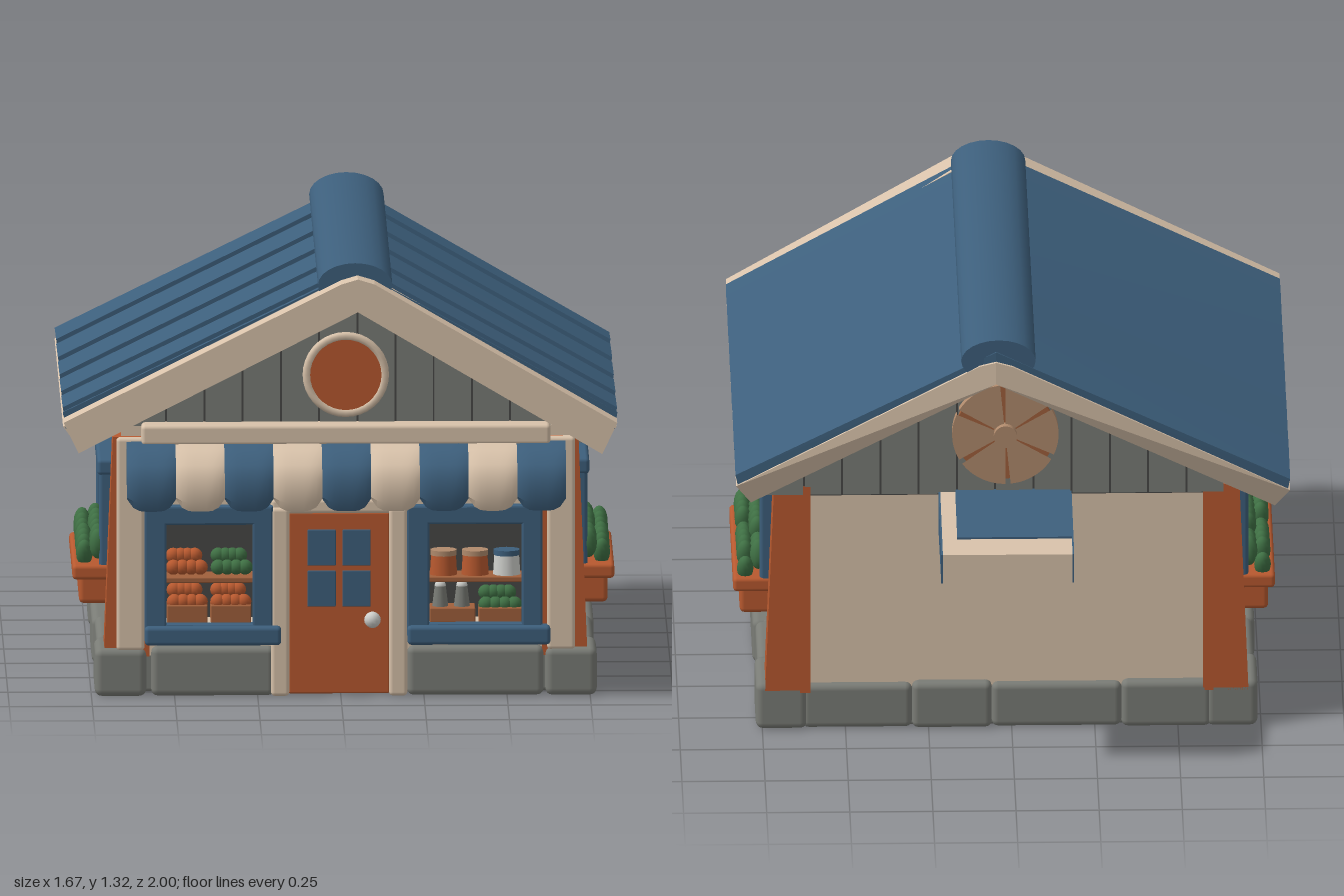
import * as THREE from 'three';
import { toCreasedNormals } from 'three/addons/utils/BufferGeometryUtils.js';
import { RoundedBoxGeometry } from 'three/addons/geometries/RoundedBoxGeometry.js';
import { ConvexGeometry } from 'three/addons/geometries/ConvexGeometry.js';

const mat = (name, color) => Object.assign(new THREE.MeshStandardMaterial({ color }), { name });

export function createModel() {
  const root = new THREE.Group();
  root.name = 'cornerShop';
  const blue = mat('slate blue', 0x3d5f7c), cream = mat('cream', 0xd8c2aa), orange = mat('terracotta', 0xb8592f);
  const grey = mat('stone grey', 0x7a7c76), dark = mat('dark interior', 0x484846), green = mat('leaf green', 0x3f7044);
  const tan = mat('tan wood', 0xb08a6c), brown = mat('crate brown', 0xa0603c), white = mat('pale metal', 0xcfd0cc);

  const add = (name, geo, m, x = 0, y = 0, z = 0) => {
    const mesh = new THREE.Mesh(geo, m);
    mesh.name = name;
    mesh.position.set(x, y, z);
    root.add(mesh);
    return mesh;
  };
  // Soft-edged box from its limits, x limits in any order
  const box = (name, m, x0, x1, y0, y1, z0, z1, r = 0.012) => {
    const w = Math.abs(x1 - x0), h = y1 - y0, d = z1 - z0;
    const rad = Math.min(r, w * 0.45, h * 0.45, d * 0.45);
    return add(name, new RoundedBoxGeometry(w, h, d, 2, rad), m, (x0 + x1) / 2, (y0 + y1) / 2, (z0 + z1) / 2);
  };
  const hull = (name, m, pts) => add(name, new ConvexGeometry(pts.map(p => new THREE.Vector3(...p))), m);
  const poly = pts => new THREE.Shape(pts.map(p => new THREE.Vector2(...p)));
  const rect = (x0, x1, y0, y1) => [[x0, y0], [x1, y0], [x1, y1], [x0, y1]];
  const extrude = (shape, depth, steps = 1) => new THREE.ExtrudeGeometry(shape, { depth, steps, bevelEnabled: false });
  const ball = (name, m, r, x, y, z, sx = 1, sy = 1, sz = 1) => {
    const b = add(name, new THREE.SphereGeometry(r, 12, 8), m, x, y, z);
    b.scale.set(sx, sy, sz);
    return b;
  };
  const cx = 0.015; // middle of the building

  // Foundation
  box('foundationCore', grey, -0.71, 0.74, 0, 0.14, -0.57, 0.75);
  const sideStones = [-0.6, -0.37, -0.08, 0.27, 0.62, 0.84];
  for (const s of [-1, 1]) for (let i = 0; i < 5; i++)
    box('foundationStone', grey, cx + s * 0.6, cx + s * (0.755 - (i % 2) * 0.008), 0, 0.15 - (i % 3) * 0.004, sideStones[i], sideStones[i + 1], 0.022);
  for (const [a, b] of [[-0.57, -0.2], [0.2, 0.61]]) box('foundationStone', grey, a, b, 0, 0.15, 0.7, 0.832, 0.02);
  const backStones = [-0.6, -0.33, 0.06, 0.3, 0.63];
  for (let i = 0; i < 4; i++)
    box('foundationStone', grey, backStones[i], backStones[i + 1], 0, 0.148 - (i % 2) * 0.006, -0.6 + (i % 2) * 0.008, -0.5, 0.02);

  // Walls, the front one with openings
  box('walls', cream, cx - 0.69, cx + 0.69, 0.1, 0.8, -0.57, 0.7, 0.004);
  const front = poly(rect(-0.66, 0.69, 0.12, 0.82));
  const windows = [[-0.53, -0.26], [0.26, 0.55]];
  for (const [a, b] of windows) front.holes.push(new THREE.Path(rect(a, b, 0.22, 0.53).map(p => new THREE.Vector2(...p))));
  add('frontWall', extrude(front, 0.1), cream, 0, 0, 0.7);
  for (const s of [-1, 1]) {
    box('frontPilaster', cream, cx + s * 0.605, cx + s * 0.69, 0.14, 0.79, 0.76, 0.835);
    box('doorPost', cream, -0.005 + s * 0.15, -0.005 + s * 0.205, 0, 0.575, 0.74, 0.838);
    // Corner posts leaning outwards at the foot
    for (const [z0, z1] of [[0.67, 0.815], [-0.6, -0.46]]) {
      const pts = [];
      for (const z of [z0, z1]) for (const [x, y] of [[0.59, 0.12], [0.727, 0.12], [0.7, 0.79], [0.59, 0.79]]) pts.push([cx + s * x, y, z]);
      hull('cornerPost', orange, pts);
    }
  }
  box('gableBeam', cream, -0.6, 0.63, 0.77, 0.832, 0.76, 0.86);
  box('doorLintel', cream, -0.21, 0.2, 0.555, 0.6, 0.74, 0.825);

  // Door
  box('door', orange, -0.157, 0.147, 0.004, 0.557, 0.76, 0.812, 0.006);
  for (const x of [-0.1, 0.005]) for (const y of [0.27, 0.395])
    box('doorPane', blue, x, x + 0.085, y, y + 0.11, 0.81, 0.817, 0.003);
  ball('doorKnob', white, 0.025, 0.095, 0.233, 0.835);

  // Shop windows with shelves
  windows.forEach(([a, b], w) => {
    box('windowBack', dark, a - 0.01, b + 0.01, 0.21, 0.54, 0.699, 0.707, 0.002);
    const o = rect(a - 0.055, b + 0.05, 0.19, 0.575);
    const frame = poly(o);
    frame.holes.push(new THREE.Path(rect(a, b, 0.215, 0.53).map(p => new THREE.Vector2(...p))));
    add('windowFrame', new THREE.ExtrudeGeometry(frame, { depth: 0.03, bevelSize: 0.006, bevelThickness: 0.006, bevelSegments: 2 }), blue, 0, 0, 0.803);
    box('windowSill', blue, a - 0.06, b + 0.08, 0.16, 0.217, 0.8, 0.868);
    box('shelf', brown, a, b, 0.343, 0.36, 0.7, 0.815, 0.004);
    const mid = (a + b) / 2;
    const heap = (m, x0, x1, y) => {
      for (let i = 0; i < 8; i++) {
        const t = (i % 4) / 3, up = i > 3;
        ball('produce', m, 0.023, x0 + 0.022 + t * (x1 - x0 - 0.044) * (up ? 0.8 : 1), y + (up ? 0.032 : 0), up ? 0.75 : 0.775);
      }
    };
    const crate = (x0, x1, y, h) => box('crate', brown, x0, x1, y, y + h, 0.715, 0.805, 0.004);
    if (w === 0) {
      heap(orange, a + 0.005, mid - 0.005, 0.385);
      heap(green, mid + 0.005, b - 0.005, 0.385);
      for (const x of [a + 0.008, mid + 0.004]) {
        crate(x, x + 0.122, 0.218, 0.055);
        heap(orange, x, x + 0.122, 0.28);
      }
    } else {
      for (let i = 0; i < 3; i++) {
        const x = a + 0.05 + i * 0.095;
        add('jar', new THREE.CylinderGeometry(0.038, 0.042, 0.06, 14), i < 2 ? orange : white, x, 0.39, 0.762);
        add('jarLid', new THREE.CylinderGeometry(0.04, 0.04, 0.016, 14), i < 2 ? tan : blue, x, 0.427, 0.762);
      }
      crate(a + 0.008, mid, 0.218, 0.045);
      for (let i = 0; i < 2; i++) {
        add('bottle', new THREE.CylinderGeometry(0.016, 0.027, 0.09, 12), grey, a + 0.04 + i * 0.065, 0.285, 0.762);
        ball('bottleTop', white, 0.017, a + 0.04 + i * 0.065, 0.325, 0.762);
      }
      crate(mid + 0.01, b - 0.005, 0.218, 0.045);
      heap(green, mid + 0.01, b - 0.005, 0.27);
    }
  });

  // Striped awning with scalloped hem
  const section = poly([[0.8, 0.72], [0.9, 0.66], [0.955, 0.63], [0.97, 0.592], [0.99, 0.592], [1.0, 0.62], [1.0, 0.69], [0.975, 0.73], [0.92, 0.765], [0.8, 0.785]]);
  const stripe = 1.32 / 9;
  for (let i = 0; i < 9; i++) {
    let g = extrude(section, stripe, 8);
    const p = g.attributes.position;
    for (let k = 0; k < p.count; k++) {
      const u = Math.abs(p.getZ(k) / stripe * 2 - 1), y = p.getY(k);
      if (y < 0.64) p.setY(k, y + (0.64 - y) * 0.75 * u ** 4);
      if (p.getX(k) > 0.85) p.setX(k, p.getX(k) - 0.01 * u ** 4);
    }
    g.rotateY(-Math.PI / 2);
    add('awningStripe', toCreasedNormals(g, 0.7), i % 2 ? cream : blue, -0.645 + stripe * (i + 1), 0, 0);
  }

  // Gables of upright boards
  const under = x => x > 0.05 ? 1.2 - (x - 0.05) * 0.587 : 1.2 - (0.05 - x) * 0.512;
  for (const z of [0.765, -0.6]) {
    add('gableCore', extrude(poly([[-0.66, 0.76], [0.69, 0.76], [0.69, under(0.69)], [0.05, 1.2], [-0.66, under(-0.66)]]), 0.02), dark, 0, 0, z + 0.006);
    for (let i = -6; i < 6; i++) {
      const a = 0.05 + i * 0.115 + 0.003, b = a + 0.109;
      add('gableBoard', extrude(poly([[a, 0.765], [b, 0.765], [b, under(b)], [a, under(a)]]), 0.032 - Math.abs(i % 2) * 0.003), grey, 0, 0, z);
    }
  }
  const disc = (name, r, m, x, y, z, d, start = 0, len = Math.PI * 2) =>
    add(name, new THREE.CylinderGeometry(r, r, d, 32, 1, false, start, len).rotateX(Math.PI / 2), m, x, y, z);
  disc('frontRoundel', 0.112, orange, 0.015, 0.98, 0.81, 0.04);
  add('roundelRing', new THREE.TorusGeometry(0.117, 0.013, 8, 36), cream, 0.015, 0.98, 0.822);
  // Carved wooden roundel on the back gable
  disc('backRoundel', 0.15, brown, 0.02, 0.97, -0.608, 0.02);
  for (let i = 0; i < 6; i++) disc('roundelPetal', 0.16, tan, 0.02, 0.97, -0.62, 0.03, i * Math.PI / 3, Math.PI / 3 - 0.1);
  disc('roundelHub', 0.035, tan, 0.02, 0.97, -0.64, 0.03);

  // Roof: cream chevrons with a skewed back end
  const backZ = x => -0.76 + Math.abs(x - 0.05) / 0.78 * (x > 0.05 ? 0.11 : 0.03);
  const chevron = (name, top, z0, z1) => {
    const g = extrude(poly([[-0.835, 0.85 - top], [-0.79, 0.757], [0.05, 1.185], [0.785, 0.75], [0.83, 0.845 - top], [0.1, 1.27 - top], [0.05, 1.285 - top], [0, 1.27 - top]]), z1 - z0);
    g.translate(0, 0, z0);
    const p = g.attributes.position;
    for (let k = 0; k < p.count; k++) if (p.getZ(k) < -0.5) p.setZ(k, backZ(p.getX(k)) + (p.getY(k) < 0.8 ? 0.035 : 0));
    g.computeVertexNormals();
    add(name, g, cream);
  };
  chevron('roofDeck', 0.03, -0.76, 0.8);
  chevron('frontBargeboard', 0, 0.79, 0.91);

  // Overlapping roof planks
  const ridge = [0.825, 0.72, 0.44, 0.12, -0.19, -0.5, -0.75], eave = [0.825, 0.74, 0.46, 0.17, -0.13, -0.44];
  for (const s of [-1, 1]) {
    const ex = s > 0 ? 0.832 : -0.835, ey = s > 0 ? 0.847 : 0.852;
    const ends = [...eave, backZ(ex) + 0.005];
    for (let i = 0; i < 6; i++) {
      const pts = [];
      for (const [k, lift] of [[i, 0.016], [i + 1, 0.002]]) for (const d of [lift, -0.035]) {
        pts.push([0.05, 1.283 + d, ridge[k]], [ex - (d < 0 ? s * 0.008 : 0), ey + d, ends[k]]);
      }
      hull('roofPlank', blue, pts);
    }
  }
  const cap = add('ridgeCap', new THREE.CylinderGeometry(1, 1, 1.58, 24).rotateX(Math.PI / 2), blue, 0.043, 1.255, 0.045);
  cap.scale.set(0.112, 0.067, 1);

  // Back canopy
  const canopy = (name, m, x0, x1, z0, z1, t, b) => {
    const top = z => 0.73 + (z + 1) * 0.1;
    const pts = [];
    for (const x of [x0, x1]) for (const z of [z0, z1]) pts.push([x, top(z) + t, z], [x, b ?? top(z), z]);
    hull(name, m, pts);
  };
  canopy('canopy', cream, -0.175, 0.215, -1, -0.56, 0, 0.635);
  canopy('canopyTop', blue, -0.175, 0.17, -0.9, -0.56, 0.006);
  for (const x of [-0.18, 0.215]) canopy('canopySide', blue, x, x + 0.005, -0.997, -0.56, 0, 0.637);

  // Side windows with planters
  for (const s of [-1, 1]) {
    const sb = (name, m, x0, x1, y0, y1, z0, z1, r) => box(name, m, cx + s * x0, cx + s * x1, y0, y1, z0, z1, r);
    sb('sideGlass', dark, 0.688, 0.695, 0.3, 0.62, -0.16, 0.36, 0.002);
    for (const [z, r] of [[0.22, 0.11], [0.0, 0.12]]) ball('breadPile', brown, r, cx + s * 0.69, 0.35, z, 0.12, 0.85, 1);
    sb('sideMullion', grey, 0.69, 0.715, 0.3, 0.61, 0.085, 0.108);
    sb('sideFrameTop', blue, 0.67, 0.74, 0.598, 0.647, -0.19, 0.395);
    for (const z of [-0.185, 0.34]) sb('sideFramePost', blue, 0.67, 0.735, 0.28, 0.63, z, z + 0.05);
    sb('planterBody', orange, 0.68, 0.795, 0.205, 0.295, -0.175, 0.385, 0.015);
    sb('planterRim', orange, 0.675, 0.815, 0.28, 0.325, -0.19, 0.4);
    for (let i = 0; i < 20; i++) {
      const row = i % 2;
      const leaf = ball('leaf', green, 0.028, cx + s * (row ? 0.738 : 0.778), 0.345 + row * 0.022 + (i * 7 % 5) * 0.006, -0.155 + i * 0.0272, 0.9, 1.65, 0.95);
      leaf.rotation.x = ((i * 3) % 5 - 2) * 0.22;
    }
  }
  return root;
}
